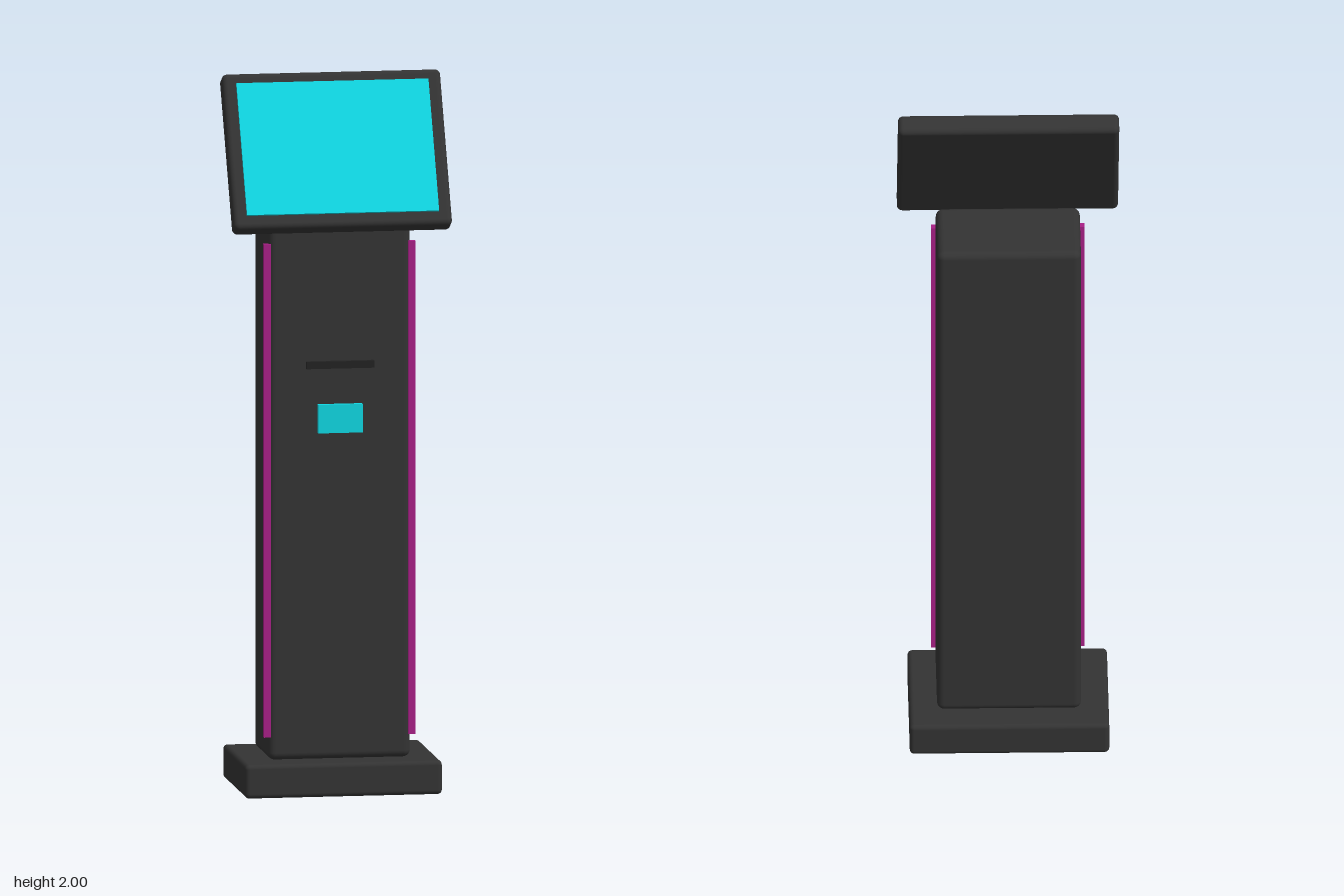
import * as THREE from 'three';
import { RoundedBoxGeometry } from 'three/addons/geometries/RoundedBoxGeometry.js';

export function createModel() {
  const model = new THREE.Group();
  model.name = 'kiosk';

  const material = (name, color) => {
    const m = new THREE.MeshStandardMaterial({ color });
    m.name = name;
    return m;
  };
  const casing = material('charcoal casing', 0x333333);
  const cyan = material('cyan screen', 0x0fd6e2);
  const magenta = material('magenta light', 0xa81f86);
  const black = material('black slot', 0x222222);

  const add = (parent, name, geometry, mat, x, y, z) => {
    const mesh = new THREE.Mesh(geometry, mat);
    mesh.name = name;
    mesh.position.set(x, y, z);
    parent.add(mesh);
    return mesh;
  };

  // Foot plate and upright column
  add(model, 'base', new RoundedBoxGeometry(0.554, 0.095, 0.4, 3, 0.013), casing, 0, 0.0475, 0);
  add(model, 'column', new RoundedBoxGeometry(0.4, 1.51, 0.246, 3, 0.02), casing, 0, 0.85, 0);

  // Light strips along both front corners
  for (const side of [-1, 1]) {
    add(model, side > 0 ? 'leftLightStrip' : 'rightLightStrip',
      new THREE.BoxGeometry(0.02, 1.385, 0.021), magenta, side * 0.203, 0.8525, 0.1145);
  }

  // Receipt slot and card reader on the column front
  add(model, 'receiptSlot', new THREE.BoxGeometry(0.19, 0.02, 0.025), black, 0, 1.204, 0.1265);
  add(model, 'cardReader', new THREE.BoxGeometry(0.125, 0.08, 0.02), cyan, 0, 1.053, 0.129);

  // Display head leaning back over the column
  const head = new THREE.Group();
  head.name = 'displayHead';
  head.position.set(0, 1.79, 0.06);
  head.rotation.x = -0.5;
  model.add(head);
  add(head, 'displayCase', new RoundedBoxGeometry(0.614, 0.46, 0.06, 3, 0.015), casing, 0, 0, 0);
  add(head, 'displayScreen', new THREE.BoxGeometry(0.54, 0.39, 0.009), cyan, 0, 0.002, 0.0325);

  return model;
}
